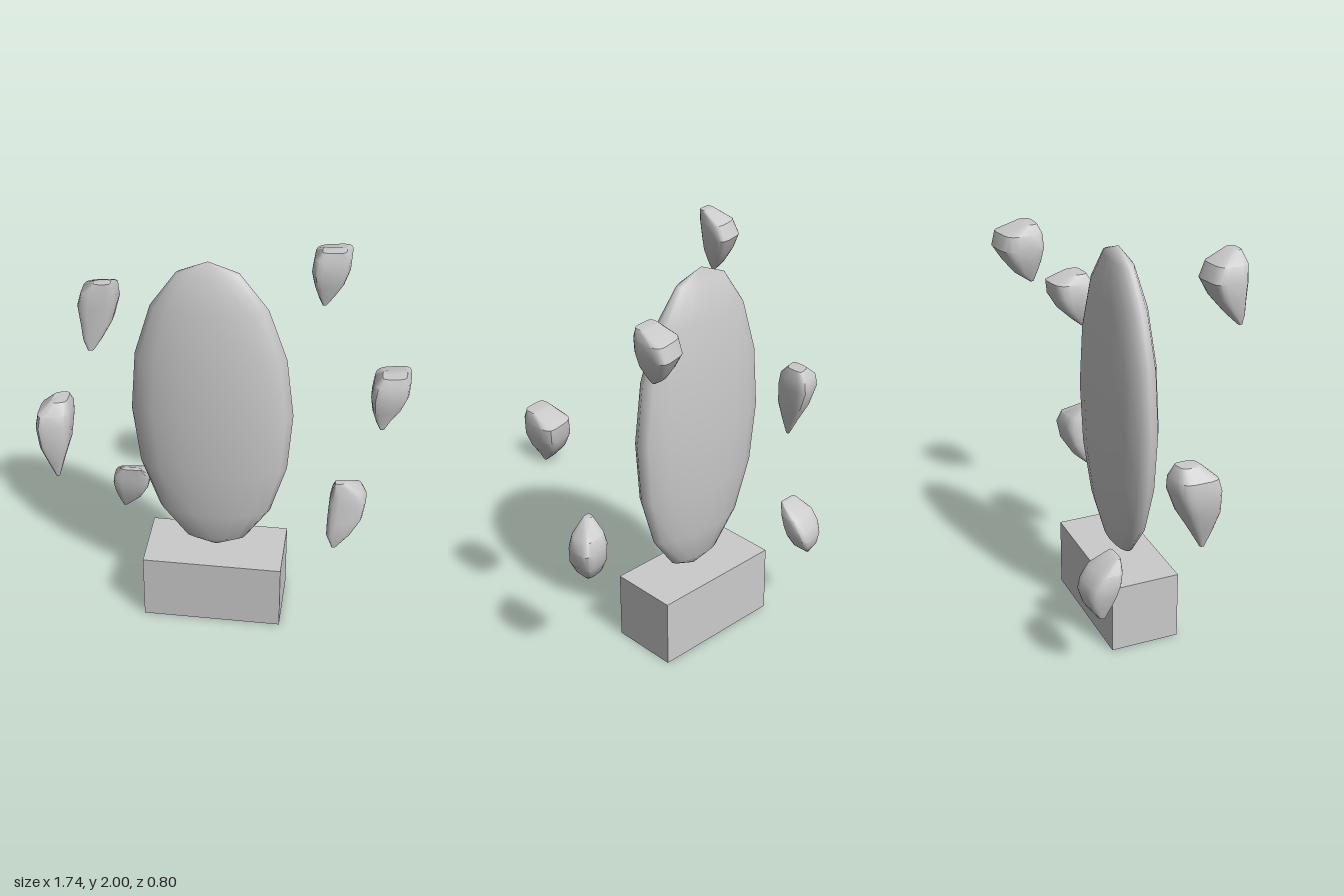
import * as THREE from 'three';
import { toCreasedNormals } from 'three/addons/utils/BufferGeometryUtils.js';

const material = new THREE.MeshStandardMaterial({ color: 0xcccccc });
const SIDES = 16;

// Floating rocks: sections from top to tip as [y, xMin, xMax, zMin, zMax]
const ROCKS = {
  upperRightRock: [
    [2.0, -0.49, -0.42, 0.34, 0.39], [1.95, -0.55, -0.405, 0.24, 0.405], [1.88, -0.57, -0.405, 0.21, 0.40],
    [1.8, -0.56, -0.425, 0.25, 0.395], [1.72, -0.55, -0.47, 0.315, 0.39], [1.67, -0.53, -0.505, 0.365, 0.385]],
  upperLeftRock: [
    [1.9, 0.43, 0.54, -0.27, -0.2], [1.86, 0.395, 0.565, -0.385, -0.18], [1.79, 0.385, 0.56, -0.405, -0.175],
    [1.72, 0.4, 0.535, -0.36, -0.19], [1.66, 0.42, 0.495, -0.31, -0.21], [1.617, 0.44, 0.46, -0.245, -0.225]],
  middleLeftRock: [
    [1.49, 0.74, 0.85, 0.08, 0.17], [1.45, 0.705, 0.87, -0.025, 0.195], [1.38, 0.695, 0.865, -0.02, 0.2],
    [1.31, 0.705, 0.835, 0.02, 0.185], [1.25, 0.725, 0.79, 0.085, 0.165], [1.21, 0.745, 0.765, 0.135, 0.155]],
  middleRightRock: [
    [1.17, -0.8, -0.725, -0.03, 0.08], [1.12, -0.86, -0.71, -0.065, 0.14], [1.06, -0.87, -0.71, -0.07, 0.155],
    [0.95, -0.855, -0.72, -0.03, 0.155], [0.85, -0.82, -0.75, 0.03, 0.13], [0.76, -0.79, -0.775, 0.08, 0.1]],
  lowerLeftRock: [
    [0.85, 0.555, 0.6, 0.07, 0.11], [0.79, 0.54, 0.68, -0.02, 0.13], [0.73, 0.53, 0.705, -0.04, 0.135],
    [0.64, 0.525, 0.69, -0.025, 0.15], [0.56, 0.525, 0.64, 0.025, 0.155], [0.49, 0.555, 0.575, 0.11, 0.14]],
  lowerRightRock: [
    [0.615, -0.53, -0.43, -0.21, -0.185], [0.56, -0.575, -0.405, -0.31, -0.185], [0.5, -0.585, -0.405, -0.355, -0.195],
    [0.45, -0.58, -0.415, -0.37, -0.21], [0.39, -0.565, -0.45, -0.355, -0.235], [0.325, -0.545, -0.525, -0.3, -0.27]],
};

// Rounded square curve used by every section
const squarish = (t) => Math.sign(t) * Math.pow(Math.abs(t), 0.5);

// Lofts a rock through its skewed, rounded sections and closes both ends
function rockGeometry(rows) {
  const positions = [];
  const index = [];
  for (const [y, x0, x1, z0, z1] of rows) {
    for (let j = 0; j < SIDES; j++) {
      const a = ((j + 0.5) / SIDES) * Math.PI * 2;
      const u = squarish(Math.cos(a));
      const v = (squarish(Math.sin(a)) - 0.2 * u) / 1.13;
      positions.push((x0 + x1) / 2 + (u * (x1 - x0)) / 2, y, (z0 + z1) / 2 + (v * (z1 - z0)) / 2);
    }
  }
  const last = rows.length - 1;
  for (const [y, x0, x1, z0, z1] of [rows[0], rows[last]]) positions.push((x0 + x1) / 2, y, (z0 + z1) / 2);
  const topCentre = rows.length * SIDES;
  for (let j = 0; j < SIDES; j++) {
    const k = (j + 1) % SIDES;
    for (let i = 0; i < last; i++) {
      const a = i * SIDES + j, b = i * SIDES + k;
      index.push(a, b, a + SIDES, b, b + SIDES, a + SIDES);
    }
    index.push(topCentre, k, j, topCentre + 1, last * SIDES + j, last * SIDES + k);
  }
  const geometry = new THREE.BufferGeometry();
  geometry.setAttribute('position', new THREE.Float32BufferAttribute(positions, 3));
  geometry.setIndex(index);
  return toCreasedNormals(geometry, 0.65);
}

export function createModel() {
  const model = new THREE.Group();
  const add = (name, geometry) => {
    const mesh = new THREE.Mesh(geometry, material);
    mesh.name = name;
    model.add(mesh);
    return mesh;
  };

  // Plinth
  add('base', new THREE.BoxGeometry(0.68, 0.345, 0.34)).position.set(-0.025, 0.1725, 0.01);

  // Tall flattened disc, leaning very slightly
  const disc = add('disc', new THREE.SphereGeometry(1, 16, 8));
  disc.scale.set(0.3825, 0.79, 0.12);
  disc.rotation.set(-0.008, 0, 0.022);
  disc.position.set(-0.042, 1.14, 0.005);

  // Rocks hovering around the disc
  for (const [name, rows] of Object.entries(ROCKS)) add(name, rockGeometry(rows));

  return model;
}
